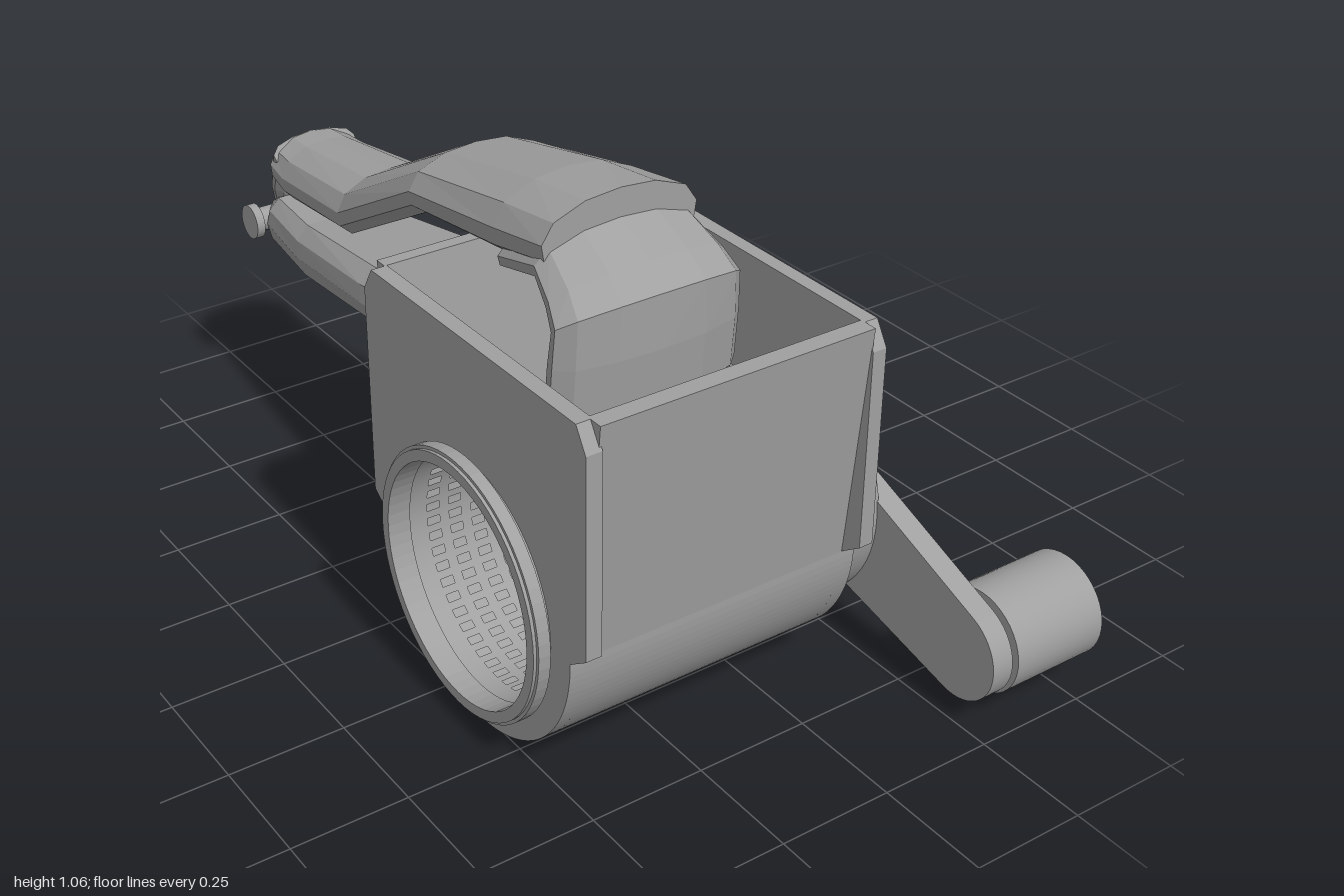
import * as THREE from 'three';

const CX = -0.175, AZ = 0.365, AY = 0.325; // body mid-plane, drum axis

export function createModel() {
  const model = new THREE.Group();
  const steel = new THREE.MeshStandardMaterial({ color: 0xa0a0a0 });
  steel.name = 'brushedSteel';
  const steelSheet = steel.clone();
  steelSheet.name = 'brushedSteelSheet';
  steelSheet.side = THREE.DoubleSide;

  const add = (name, geo, mat = steel) => {
    const mesh = new THREE.Mesh(geo, mat);
    mesh.name = name;
    model.add(mesh);
    return mesh;
  };

  // Extrudes a (z, y) outline from x0 to x1
  const extrudeX = (name, shape, x0, x1) => {
    const geo = new THREE.ExtrudeGeometry(shape, { depth: x1 - x0, bevelEnabled: false, curveSegments: 32 });
    geo.rotateY(-Math.PI / 2).translate(x1, 0, 0);
    return add(name, geo);
  };

  // Cylinder lying along x
  const rod = (name, r, x0, x1, z, y, seg = 40) => {
    const geo = new THREE.CylinderGeometry(r, r, x1 - x0, seg);
    geo.rotateZ(Math.PI / 2).translate((x0 + x1) / 2, y, z);
    return add(name, geo);
  };

  // Faceted loft; stations are [topZ, topY, bottomZ, bottomY, halfWidth]
  const loft = (name, stations, section) => {
    const pos = [], idx = [], n = section.length;
    for (const [tz, ty, bz, by, hw] of stations)
      for (const [u, v] of section) pos.push(CX + u * hw, by + (ty - by) * v, bz + (tz - bz) * v);
    for (let i = 0; i < stations.length - 1; i++)
      for (let j = 0; j < n; j++) {
        const a = i * n + j, b = i * n + (j + 1) % n;
        idx.push(a, a + n, b, b, a + n, b + n);
      }
    const end = (stations.length - 1) * n;
    for (let j = 1; j < n - 1; j++) {
      idx.push(0, j, j + 1);
      idx.push(end, end + j + 1, end + j);
    }
    const indexed = new THREE.BufferGeometry();
    indexed.setAttribute('position', new THREE.Float32BufferAttribute(pos, 3));
    indexed.setIndex(idx);
    const geo = indexed.toNonIndexed();
    geo.computeVertexNormals();
    return add(name, geo);
  };

  // Hopper: sloping front and back walls joined by a round trough
  const hopper = new THREE.Shape();
  hopper.moveTo(0.74, 0.84);
  hopper.lineTo(0.69, AY);
  hopper.absarc(AZ, AY, 0.325, 0, -Math.PI, true);
  hopper.lineTo(-0.015, 0.84);
  hopper.lineTo(0.015, 0.84);
  hopper.lineTo(0.08, AY);
  hopper.absarc(AZ, AY, 0.285, -Math.PI, 0, false);
  hopper.lineTo(0.70, 0.84);
  hopper.closePath();
  extrudeX('hopper', hopper, -0.48, 0.13);

  // Side plates with clipped corners; the left-hand one is open for the drum
  const sidePlate = (hole) => {
    const s = new THREE.Shape();
    s.moveTo(0.71, 0.84);
    s.lineTo(0.74, 0.79);
    s.lineTo(0.74, 0.36);
    s.lineTo(0.69, AY);
    s.absarc(AZ, AY, 0.325, 0, -Math.PI * 0.965, true);
    s.lineTo(-0.015, 0.33);
    s.lineTo(-0.015, 0.79);
    s.lineTo(0.015, 0.84);
    s.closePath();
    if (hole) s.holes.push(new THREE.Path().absarc(AZ, AY, 0.255, 0, Math.PI * 2, true));
    return s;
  };
  extrudeX('openSidePlate', sidePlate(true), -0.51, -0.475);
  extrudeX('crankSidePlate', sidePlate(false), 0.128, 0.16);

  // Grating drum: a sheet with rows of slots left out
  const cols = 12, around = 48, x0 = -0.475, x1 = 0.13, pitch = (x1 - x0) / cols;
  const xs = [-0.54];
  for (let c = 0; c < cols; c++) xs.push(x0 + pitch * (c + 0.22), x0 + pitch * (c + 0.78));
  xs.push(x1);
  const pos = [], nor = [], idx = [], m = around * 2;
  for (const x of xs)
    for (let j = 0; j < m; j++) {
      const t = (j / m) * Math.PI * 2;
      pos.push(x, AY + 0.253 * Math.sin(t), AZ + 0.253 * Math.cos(t));
      nor.push(0, Math.sin(t), Math.cos(t));
    }
  for (let i = 0; i < xs.length - 1; i++)
    for (let j = 0; j < m; j++) {
      if (i % 2 === 1 && j % 2 === 1) continue;
      const a = i * m + j, b = i * m + (j + 1) % m;
      idx.push(a, a + m, b, b, a + m, b + m);
    }
  const drum = new THREE.BufferGeometry();
  drum.setAttribute('position', new THREE.Float32BufferAttribute(pos, 3));
  drum.setAttribute('normal', new THREE.Float32BufferAttribute(nor, 3));
  drum.setIndex(idx);
  add('gratingDrum', drum, steelSheet);

  // Rolled rim and neck at the drum mouth
  const ring = (r) => {
    const s = new THREE.Shape().absarc(AZ, AY, r, 0, Math.PI * 2, false);
    s.holes.push(new THREE.Path().absarc(AZ, AY, 0.25, 0, Math.PI * 2, true));
    return s;
  };
  extrudeX('drumNeck', ring(0.262), -0.525, -0.505);
  extrudeX('drumRim', ring(0.28), -0.548, -0.522);
  extrudeX('drumLip', ring(0.273), -0.555, -0.548);

  // Crank: end disc, tapered arm, pin and knob
  rod('crankDisc', 0.283, 0.155, 0.26, AZ, AY, 64);
  const kz = 0.895, ky = 0.16, r1 = 0.143, r2 = 0.105;
  const dir = Math.atan2(ky - AY, kz - AZ);
  const spread = Math.acos((r1 - r2) / Math.hypot(kz - AZ, ky - AY));
  const crank = new THREE.Shape();
  crank.absarc(AZ, AY, r1, dir + spread, dir - spread + Math.PI * 2, false);
  crank.absarc(kz, ky, r2, dir - spread, dir + spread, false);
  crank.closePath();
  extrudeX('crankArm', crank, 0.255, 0.305);
  rod('knobPin', 0.035, 0.3, 0.33, kz, ky, 24);
  rod('knob', 0.111, 0.315, 0.541, kz, ky);
  rod('knobCap', 0.056, 0.535, 0.553, kz, ky, 32);

  // Handles: arched cross-sections, counter-clockwise seen from the front
  const arch = [[-0.75, 0], [0.75, 0], [0.97, 0.2], [1, 0.45], [0.85, 0.75], [0.45, 0.95],
    [0, 1], [-0.45, 0.95], [-0.85, 0.75], [-1, 0.45], [-0.97, 0.2]];
  const trough = arch.map(([u, v]) => [-u, 1 - v]);

  loft('upperHandle', [
    [0.366, 1.06, 0.366, 0.93, 0.175],
    [0.195, 1.04, 0.195, 0.89, 0.172],
    [-0.136, 0.97, -0.136, 0.845, 0.16],
    [-0.5, 0.775, -0.5, 0.645, 0.132],
    [-0.79, 0.74, -0.8, 0.61, 0.113],
    [-0.865, 0.735, -0.87, 0.625, 0.105],
  ], arch);
  loft('hingeFlap', [
    [-0.862, 0.735, -0.835, 0.68, 0.105],
    [-0.93, 0.615, -0.895, 0.585, 0.085],
    [-0.995, 0.535, -0.94, 0.5, 0.05],
  ], arch);
  loft('lowerHandle', [
    [0.03, 0.705, 0.03, 0.505, 0.185],
    [-0.37, 0.625, -0.37, 0.46, 0.16],
    [-0.725, 0.575, -0.725, 0.41, 0.125],
    [-0.9, 0.57, -0.94, 0.42, 0.1],
    [-0.985, 0.535, -0.998, 0.46, 0.05],
  ], trough);

  // Hinge pin with a head at each end
  rod('hingePin', 0.028, -0.295, -0.055, -0.945, 0.505, 16);
  for (const side of [-1, 1]) {
    const x = CX + side * 0.122;
    rod('hingePinHead', 0.041, x - 0.01, x + 0.01, -0.945, 0.505, 20);
  }

  // Curved presser under the front of the upper handle
  loft('presser', [
    [0.5, 0.68, 0.4, 0.68, 0.215],
    [0.51, 0.79, 0.41, 0.78, 0.214],
    [0.51, 0.905, 0.42, 0.84, 0.21],
    [0.46, 0.95, 0.39, 0.87, 0.198],
    [0.366, 1.0, 0.34, 0.9, 0.182],
    [0.2, 0.945, 0.2, 0.86, 0.165],
  ], arch);

  return model;
}
